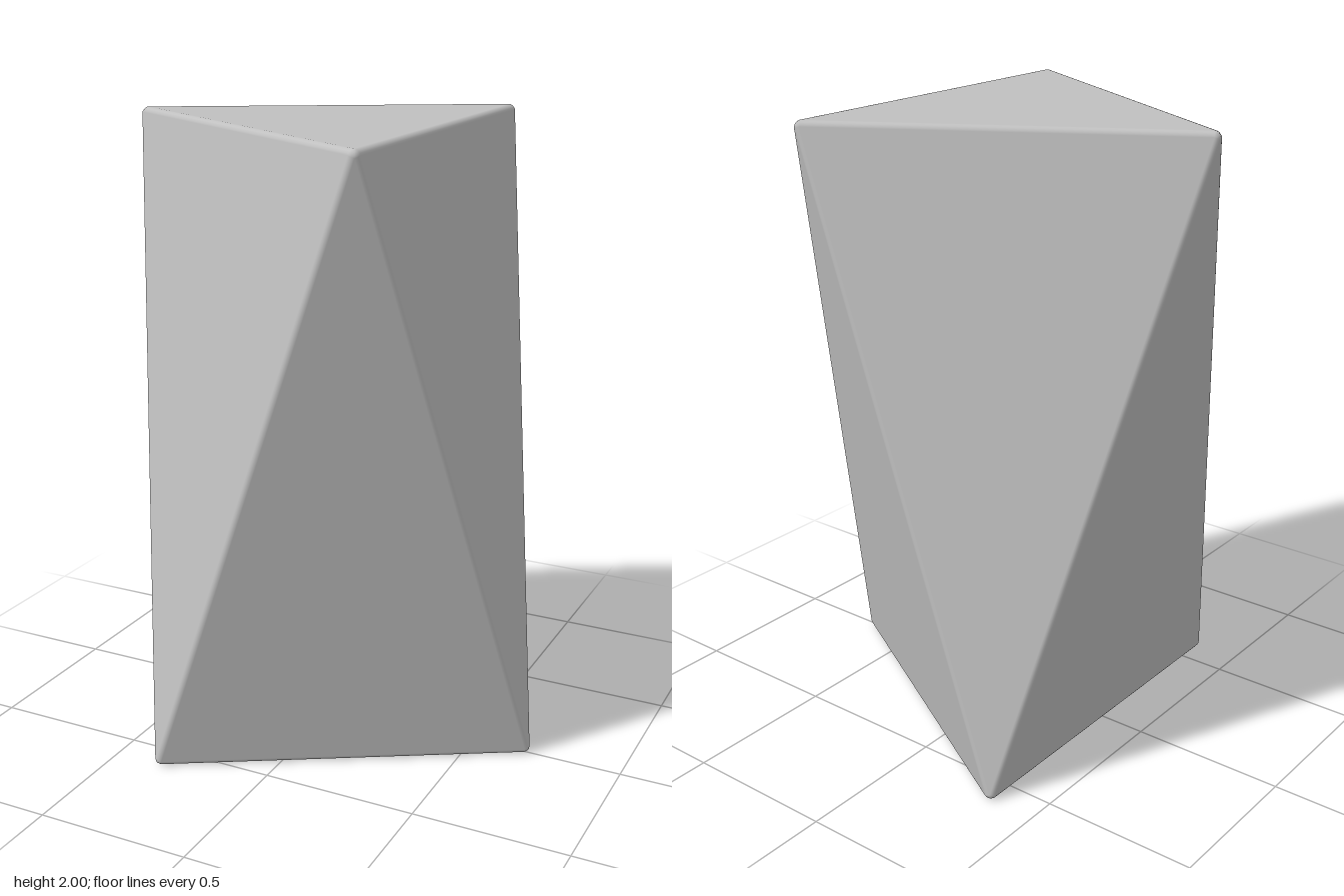
import * as THREE from 'three';
import { ConvexGeometry } from 'three/addons/geometries/ConvexGeometry.js';

const HEIGHT = 2, ROUND = 0.02, RADIUS = 0.676, ARC_STEPS = 4;

// Triangular antiprism whose edges and corners are rounded by a small radius
function roundedAntiprism() {
  // Core corners, alternating between the bottom and top triangles
  const corners = [];
  for (let k = 0; k < 6; k++) {
    const a = k * Math.PI / 3;
    const y = k % 2 ? HEIGHT - ROUND : ROUND;
    corners.push(new THREE.Vector3(RADIUS * Math.cos(a), y, RADIUS * Math.sin(a)));
  }

  // Two end faces and six slanted side faces, with outward normals
  const faces = [[0, 2, 4], [1, 3, 5]];
  for (let k = 0; k < 6; k++) faces.push([k, (k + 1) % 6, (k + 2) % 6]);
  const middle = new THREE.Vector3(0, HEIGHT / 2, 0);
  const normals = faces.map(([a, b, c]) => {
    const n = new THREE.Triangle(corners[a], corners[b], corners[c]).getNormal(new THREE.Vector3());
    return n.dot(corners[a].clone().sub(middle)) < 0 ? n.negate() : n;
  });

  // Sweep arcs between the faces that meet at each corner
  const points = [];
  corners.forEach((corner, i) => {
    const around = normals.filter((n, f) => faces[f].includes(i));
    around.forEach((n) => points.push(corner.clone().addScaledVector(n, ROUND)));
    for (let a = 0; a < around.length; a++) {
      for (let b = a + 1; b < around.length; b++) {
        for (let s = 1; s < ARC_STEPS; s++) {
          const dir = around[a].clone().lerp(around[b], s / ARC_STEPS).normalize();
          points.push(corner.clone().addScaledVector(dir, ROUND));
        }
      }
    }
  });
  const geometry = new ConvexGeometry(points);

  // Smooth normals point away from the nearest core corner
  const pos = geometry.attributes.position, nor = geometry.attributes.normal;
  const p = new THREE.Vector3();
  for (let i = 0; i < pos.count; i++) {
    p.fromBufferAttribute(pos, i);
    const near = corners.reduce((m, c) => (c.distanceTo(p) < m.distanceTo(p) ? c : m));
    p.sub(near).normalize();
    nor.setXYZ(i, p.x, p.y, p.z);
  }
  return geometry;
}

export function createModel() {
  const group = new THREE.Group();
  group.name = 'antiprism';
  const grey = new THREE.MeshStandardMaterial({ color: 0xc0c0c0 });
  grey.name = 'light grey';
  const body = new THREE.Mesh(roundedAntiprism(), grey);
  body.name = 'body';
  group.add(body);
  return group;
}
